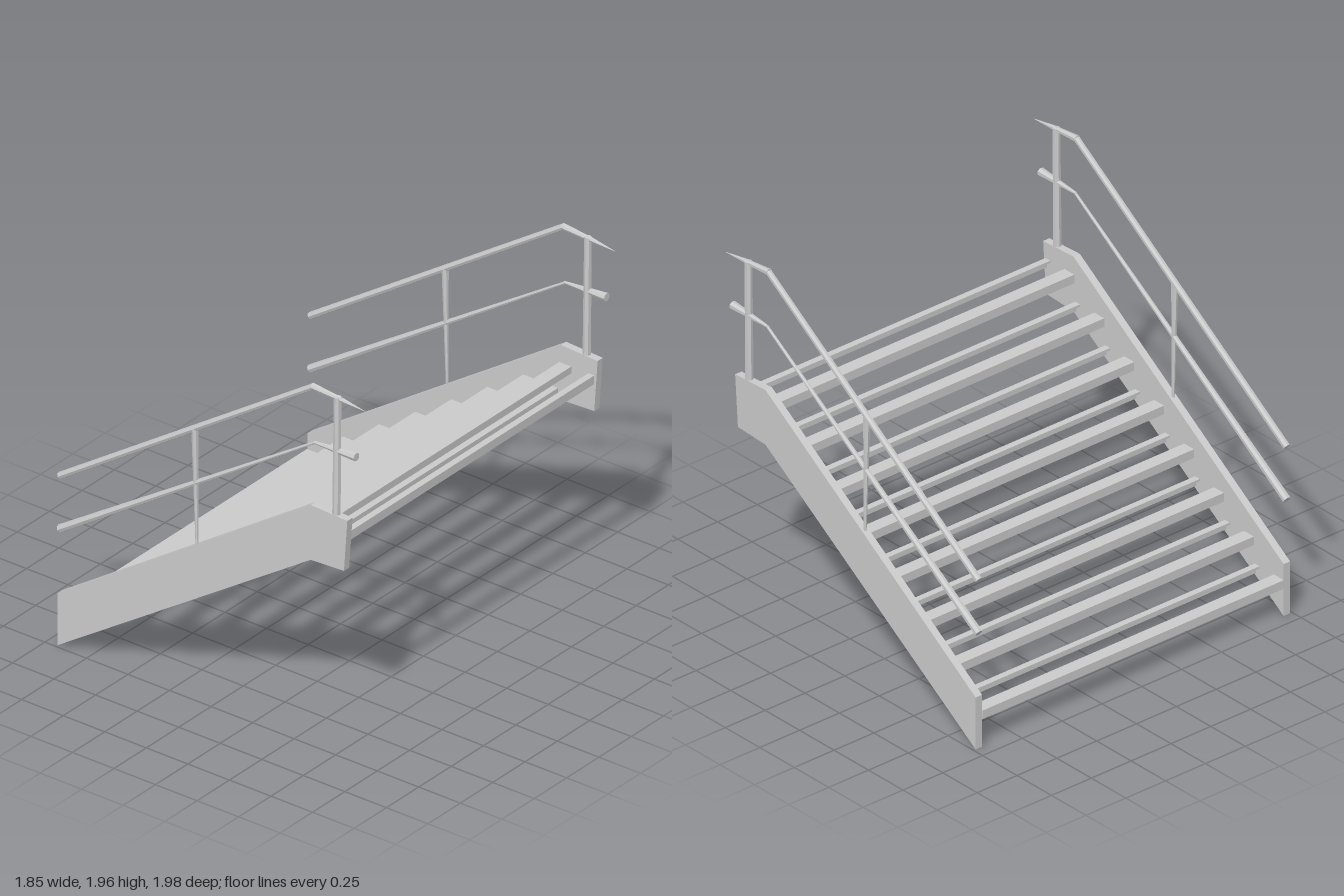
import * as THREE from 'three';

const material = new THREE.MeshStandardMaterial({
  color: 0xcccccc, flatShading: true, side: THREE.DoubleSide,
});

function addMesh(parent, name, geometry) {
  const mesh = new THREE.Mesh(geometry, material);
  mesh.name = name;
  parent.add(mesh);
  return mesh;
}

// Extrude an x-y outline along z, centred on z = 0
function extruded(points, depth) {
  const shape = new THREE.Shape(points.map(([x, y]) => new THREE.Vector2(x, y)));
  const geometry = new THREE.ExtrudeGeometry(shape, { depth, bevelEnabled: false });
  return geometry.translate(0, 0, -depth / 2);
}

// Tapered low-poly bar between two x-y points
function addBar(parent, name, from, to, r0, r1) {
  const a = new THREE.Vector3(...from, 0);
  const b = new THREE.Vector3(...to, 0);
  const bar = addMesh(parent, name, new THREE.CylinderGeometry(r1, r0, a.distanceTo(b), 7));
  bar.position.copy(a).add(b).multiplyScalar(0.5);
  bar.quaternion.setFromUnitVectors(new THREE.Vector3(0, 1, 0), b.sub(a).normalize());
  return bar;
}

// Sloping side beam with its handrail, middle rail and posts
function createSide(name) {
  const side = new THREE.Group();
  side.name = name;
  addMesh(side, 'stringer', extruded([
    [-0.935, 0.005], [0.59, 1.01], [0.79, 1.02], [0.81, 1.3], [0.59, 1.31], [-0.935, 0.29],
  ], 0.04));

  addBar(side, 'handrail', [-0.935, 0.925], [0.59, 1.95], 0.018, 0.016);
  addBar(side, 'handrailLanding', [0.585, 1.95], [0.76, 1.937], 0.018, 0.012);
  addBar(side, 'handrailTip', [0.76, 1.937], [0.9, 1.923], 0.012, 0.001);

  addBar(side, 'middleRail', [-0.935, 0.635], [0.6, 1.647], 0.021, 0.007);
  addBar(side, 'middleRailLanding', [0.595, 1.647], [0.85, 1.655], 0.007, 0.022);

  addBar(side, 'middlePost', [-0.11, 0.83], [-0.122, 1.47], 0.007, 0.018);
  addBar(side, 'topPost', [0.73, 1.3], [0.737, 1.945], 0.021, 0.019);
  return side;
}

export function createModel() {
  const stairs = new THREE.Group();
  stairs.name = 'stairFlight';

  const left = createSide('frontSide');
  left.position.z = 0.967;
  const right = createSide('backSide');
  right.position.z = -0.967;
  stairs.add(left, right);

  // Open treads: a folded channel at the nosing and a narrow angle behind
  const width = 1.89;
  const nosing = extruded([
    [0, 0], [0.01, 0], [0.01, 0.035], [0.062, 0.035], [0.062, 0.01],
    [0.072, 0.01], [0.072, 0.047], [0, 0.047],
  ], width);
  const rear = extruded([
    [0, 0.035], [0.025, 0.035], [0.025, 0], [0.035, 0], [0.035, 0.047], [0, 0.047],
  ], width);
  for (let i = 0; i < 8; i++) {
    const tread = new THREE.Group();
    tread.name = `tread${i + 1}`;
    addMesh(tread, 'treadNosing', nosing);
    addMesh(tread, 'treadRearBar', rear).position.x = 0.175;
    tread.position.set(-0.938 + i * 0.217, 0.157 + i * 0.1445, 0);
    stairs.add(tread);
  }
  return stairs;
}
